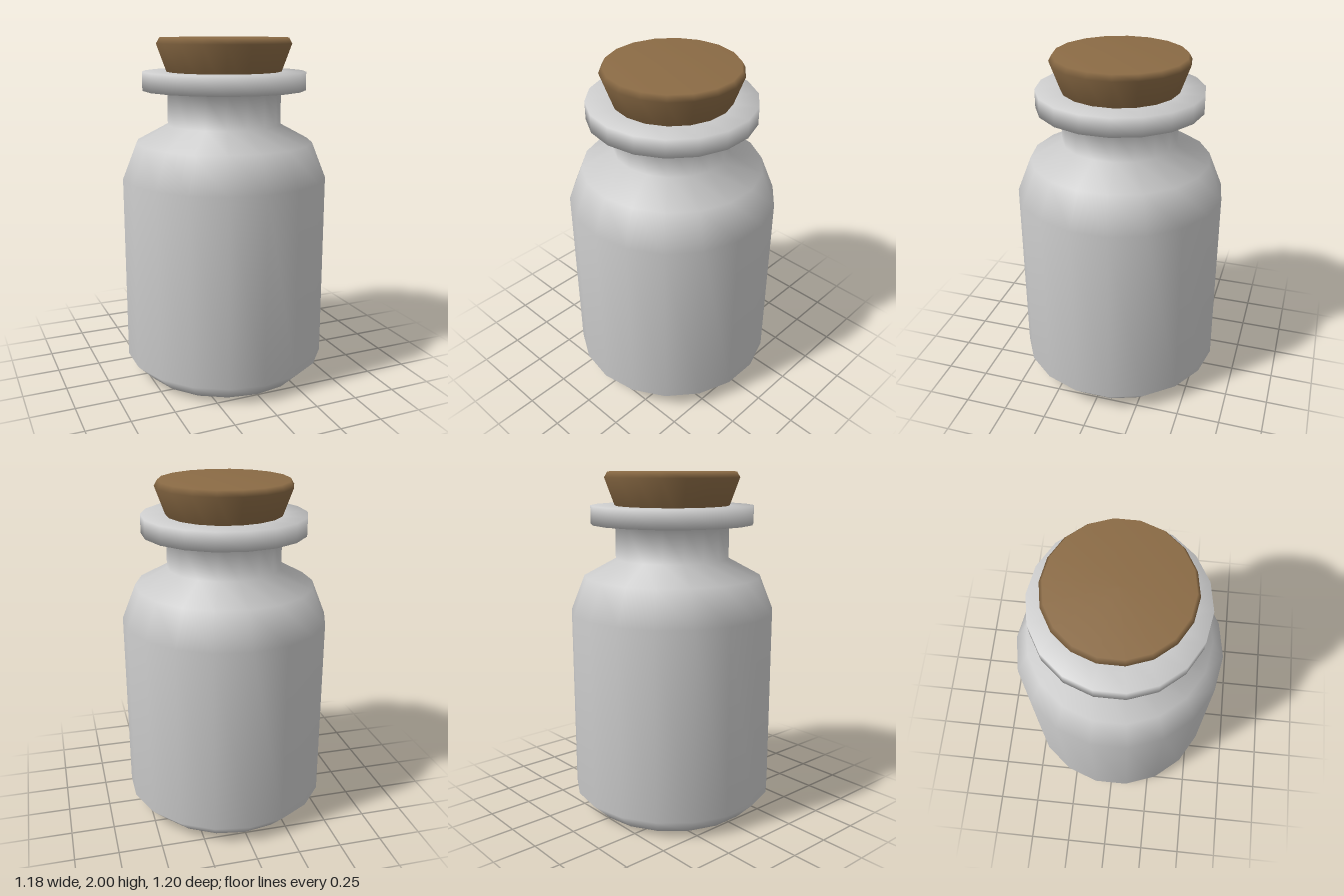
import * as THREE from 'three';

const SIDES = 18;

// Smooth low-poly lathe from [radius, height] pairs, listed bottom to top
function turned(name, profile, color) {
  const points = profile.map(([r, y]) => new THREE.Vector2(r, y));
  const mesh = new THREE.Mesh(
    new THREE.LatheGeometry(points, SIDES),
    new THREE.MeshStandardMaterial({ color })
  );
  mesh.name = name;
  return mesh;
}

export function createModel() {
  const model = new THREE.Group();
  model.name = 'corkedBottle';

  // Bottle: chamfered base, straight body, sloped shoulder, neck and wide lip
  const bottle = turned('bottle', [
    [0, 0], [0.495, 0], [0.6, 0.105], [0.6, 1.2], [0.518, 1.405], [0.332, 1.505],
    [0.332, 1.705], [0.474, 1.705], [0.474, 1.81], [0.3, 1.81],
  ], 0xcccccc);

  // Cork: tapered plug with a small bevel at the top, seated in the neck
  const cork = turned('cork', [
    [0, 1.7], [0.294, 1.7], [0.391, 1.967], [0.372, 2], [0, 2],
  ], 0x8b6b45);

  model.add(bottle, cork);
  return model;
}
